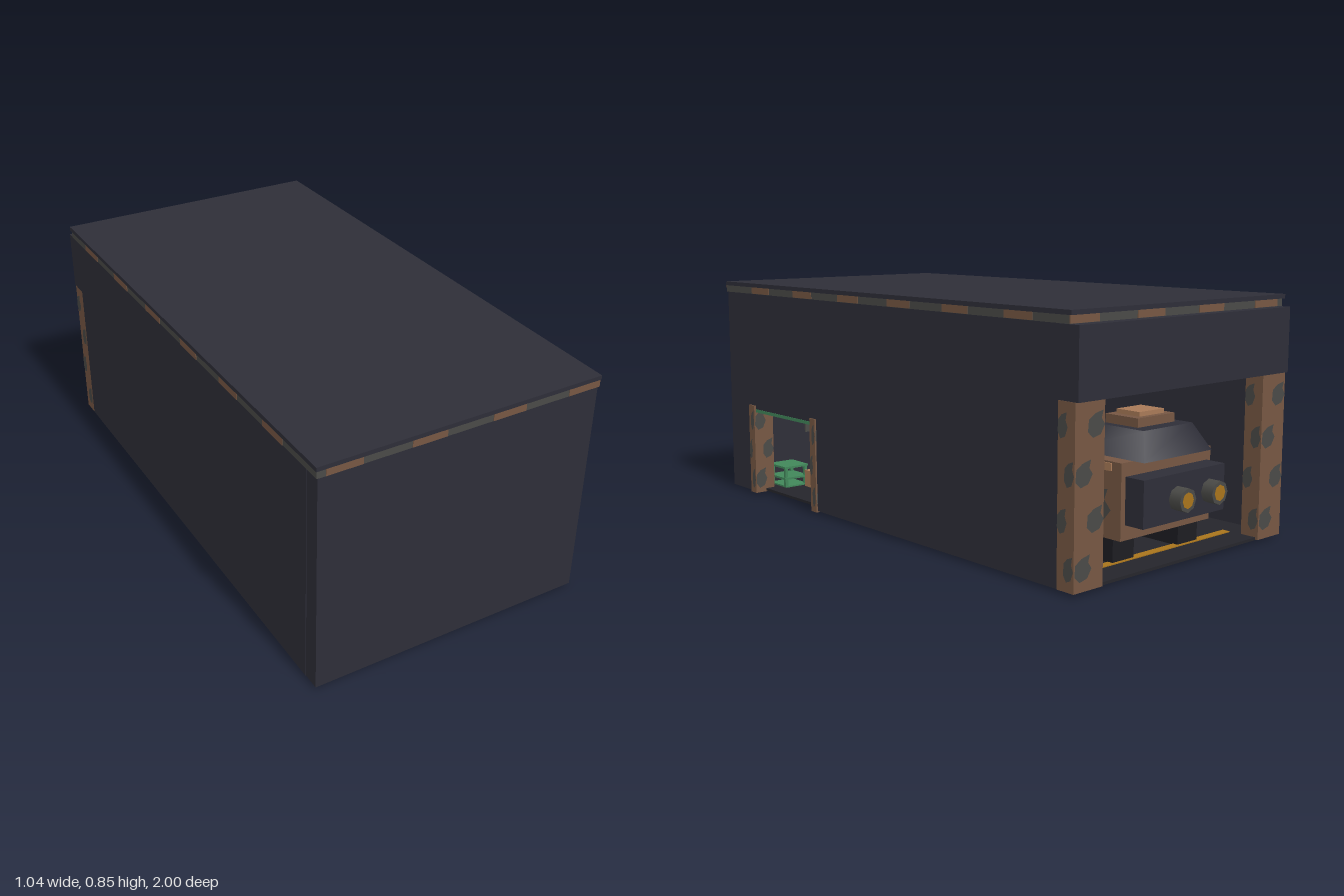
import * as THREE from 'three';

export function createModel() {
  const root = new THREE.Group();
  root.name = 'hangar';
  const mat = (name, color) => {
    const m = new THREE.MeshStandardMaterial({ color });
    m.name = name;
    return m;
  };
  const wall = mat('dark wall', 0x2e2e38);
  const floorMat = mat('floor', 0x25252b);
  const brown = mat('camo brown', 0x765743);
  const grey = mat('camo grey', 0x4a4a47);
  const gold = mat('gold marking', 0xa8741c);
  const green = mat('green', 0x41875a);
  const metal = mat('dark metal', 0x1d1d22);
  const tan = mat('tan', 0xa87a58);

  // Box given by its low and high limits on each axis
  const box = (name, m, x0, x1, y0, y1, z0, z1, parent = root) => {
    const b = new THREE.Mesh(new THREE.BoxGeometry(x1 - x0, y1 - y0, z1 - z0), m);
    b.position.set((x0 + x1) / 2, (y0 + y1) / 2, (z0 + z1) / 2);
    b.name = name;
    parent.add(b);
    return b;
  };

  // Irregular camouflage blob, laid flat on a face pointing along +z after rotation
  const blobShape = new THREE.Shape([
    [-0.5, -0.25], [-0.2, -0.5], [0.25, -0.4], [0.5, -0.05],
    [0.3, 0.2], [0.4, 0.5], [-0.1, 0.4], [-0.45, 0.2],
  ].map(([x, y]) => new THREE.Vector2(x, y)));
  const blobGeo = new THREE.ShapeGeometry(blobShape);
  const blob = (m, x, y, z, w, h, turn) => {
    const b = new THREE.Mesh(blobGeo, m);
    b.position.set(x, y, z);
    b.scale.set(w, h, 1);
    b.rotation.y = turn;
    b.name = 'camoPatch';
    root.add(b);
  };

  // Camouflaged post with patches on all four sides
  const post = (name, x0, x1, y0, y1, z0, z1) => {
    box(name, brown, x0, x1, y0, y1, z0, z1);
    const cx = (x0 + x1) / 2, cz = (z0 + z1) / 2, e = 0.002;
    const w = x1 - x0, d = z1 - z0;
    const n = Math.round((y1 - y0) / 0.13);
    for (let i = 0; i < n; i++) {
      const y = y0 + (i + 0.5) * (y1 - y0) / n;
      const s = i % 2 ? 1 : -1;
      blob(grey, cx + s * w * 0.2, y, z1 + e, w * 0.58, 0.08, 0);
      blob(grey, cx - s * w * 0.2, y, z0 - e, w * 0.58, 0.08, Math.PI);
      blob(grey, x1 + e, y, cz + s * d * 0.2, d * 0.58, 0.08, Math.PI / 2);
      blob(grey, x0 - e, y, cz - s * d * 0.2, d * 0.58, 0.08, -Math.PI / 2);
    }
  };

  // Shell: front, side and rear walls around the two openings
  box('frontWall', wall, -0.513, 0.508, 0.01, 0.805, 0.935, 0.995);
  box('rightWall', wall, -0.515, -0.49, 0.01, 0.805, -0.89, 0.935);
  box('leftWallFrontPanel', wall, 0.485, 0.508, 0.01, 0.805, 0.85, 0.935);
  box('leftWallDoorHeader', wall, 0.485, 0.508, 0.36, 0.805, 0.38, 0.85);
  box('leftWallRearPanel', wall, 0.485, 0.508, 0.01, 0.805, -0.89, 0.38);
  box('rearLintel', wall, -0.515, 0.508, 0.58, 0.803, -0.97, -0.89);

  // Roof with a patterned trim band
  box('roof', wall, -0.52, 0.515, 0.83, 0.845, -0.945, 1);
  box('roofTrim', grey, -0.517, 0.512, 0.804, 0.83, -0.935, 0.997);
  for (let i = 0; i < 4; i++) {
    const x = -0.425 + i * 0.292;
    const x1 = Math.min(x + 0.062, 0.512);
    box('trimPatchFront', brown, x - 0.062, x1, 0.805, 0.83, 0.996, 0.999);
    box('trimPatchRear', brown, x - 0.062, x1, 0.805, 0.83, -0.938, -0.934);
  }
  for (let i = 0; i < 6; i++) {
    const z = 0.74 - i * 0.292;
    for (const x of [-0.517, 0.512])
      box('trimPatchSide', brown, x - 0.002, x + 0.002, 0.805, 0.83, z - 0.062, z + 0.062);
  }

  // Rear pillars and side door frame
  post('rearPillarLeft', 0.385, 0.51, 0.01, 0.58, -0.96, -0.89);
  post('rearPillarRight', -0.515, -0.39, 0.01, 0.58, -0.96, -0.89);
  post('doorFrameFront', 0.43, 0.514, 0.005, 0.36, 0.81, 0.85);
  post('doorFrameRear', 0.43, 0.514, 0.005, 0.36, 0.38, 0.415);
  box('doorHeaderBeam', wall, 0.44, 0.505, 0.345, 0.36, 0.415, 0.81);
  box('doorLightStrip', green, 0.47, 0.507, 0.333, 0.345, 0.415, 0.81);

  // Floor stops short of the left wall; markings show on both faces
  box('floor', floorMat, -0.513, 0.468, 0.008, 0.018, -0.95, 0.935);
  const line = (x0, x1, z0, z1) => box('floorMarking', gold, x0, x1, 0.006, 0.021, z0, z1);
  line(-0.38, 0.36, -0.85, -0.82);
  line(0.258, 0.27, -0.735, 0.62);
  line(-0.252, -0.24, -0.735, 0.88);
  for (const z of [-0.46, 0.17, 0.64]) line(-0.18, 0.258, z - 0.006, z + 0.006);

  // Hatches set through the floor
  const hatch = (m, x, z, w, d) =>
    box('floorHatch', m, x - w / 2, x + w / 2, 0.004, 0.024, z - d / 2, z + d / 2);
  hatch(green, 0.355, -0.46, 0.1, 0.12);
  hatch(green, 0.355, 0.82, 0.1, 0.12);
  for (const [x, z] of [[-0.33, 0.73], [-0.395, -0.16], [-0.36, 0.3], [0.38, 0.1],
    [-0.38, -0.62], [0.05, 0.4], [0.05, -0.15]]) hatch(metal, x, z, 0.12, 0.13);
  for (const z of [0.29, -0.3, -0.66])
    box('floorFoot', metal, -0.02, 0.13, 0, 0.012, z - 0.008, z + 0.008);

  // Equipment racks and crates along the left side
  for (const z of [0.82, -0.46]) {
    for (const x of [0.31, 0.4])
      for (const dz of [-0.05, 0.05])
        box('rackLeg', green, x - 0.006, x + 0.006, 0.018, 0.1, z + dz - 0.006, z + dz + 0.006);
    for (const y of [0.05, 0.095])
      box('rackShelf', green, 0.3, 0.41, y, y + 0.008, z - 0.06, z + 0.06);
  }
  box('crate', tan, 0.26, 0.33, 0.018, 0.085, 0.68, 0.74);
  box('crate', metal, 0.26, 0.36, 0.018, 0.09, 0.43, 0.5);
  box('wallScreen', grey, 0.1, 0.2, 0.2, 0.31, 0.927, 0.934);
  post('innerColumn', -0.489, -0.43, 0.018, 0.8, 0.55, 0.66);
  box('railing', gold, -0.48, -0.47, 0.14, 0.152, -0.2, 0.5);
  for (const z of [-0.19, 0.15, 0.49])
    box('railPost', gold, -0.48, -0.47, 0.018, 0.14, z - 0.005, z + 0.005);

  const cylinder = (name, m, r, h, x, y, z, parent, alongZ, sides = 12) => {
    const c = new THREE.Mesh(new THREE.CylinderGeometry(r, r, h, sides), m);
    c.position.set(x, y, z);
    if (alongZ) c.rotation.x = Math.PI / 2;
    c.name = name;
    parent.add(c);
  };
  cylinder('barrel', grey, 0.028, 0.1, 0.415, 0.068, -0.665, root, false);

  // Parked machine: body, rear pack, twin exhausts, upper housing and tracks
  const machine = new THREE.Group();
  machine.name = 'parkedMachine';
  root.add(machine);
  box('rearPack', wall, -0.2, 0.2, 0.15, 0.305, -0.955, -0.88, machine);
  box('body', brown, -0.22, 0.22, 0.1, 0.35, -0.88, -0.66, machine);
  box('bodyStripe', tan, -0.225, 0.225, 0.32, 0.345, -0.84, -0.7, machine);
  const housing = new THREE.Mesh(
    new THREE.CylinderGeometry(0.17, 0.235, 0.09, 4, 1).rotateY(Math.PI / 4), wall);
  housing.position.set(0, 0.395, -0.76);
  housing.name = 'upperHousing';
  machine.add(housing);
  box('hatchBase', brown, -0.09, 0.09, 0.44, 0.47, -0.83, -0.69, machine);
  box('hatchLid', tan, -0.06, 0.06, 0.47, 0.485, -0.81, -0.71, machine);
  for (const x of [-0.12, 0.04]) {
    cylinder('exhaust', grey, 0.04, 0.05, x, 0.225, -0.975, machine, true, 8);
    cylinder('exhaustCore', gold, 0.027, 0.003, x, 0.225, -0.9995, machine, true, 8);
  }
  for (const s of [-1, 1]) {
    box('leg', metal, s * 0.16 - 0.05, s * 0.16 + 0.05, 0.018, 0.1, -0.84, -0.66, machine);
    blob(grey, s * 0.223, 0.2, -0.77, 0.14, 0.12, s * Math.PI / 2);
  }

  // Ceiling beams
  for (const z of [-0.8, -0.3, 0.2, 0.7])
    box('ceilingBeam', metal, -0.49, 0.485, 0.74, 0.804, z - 0.03, z + 0.03);
  box('ceilingMarking', gold, -0.4, 0.4, 0.725, 0.74, -0.815, -0.785);
  return root;
}
